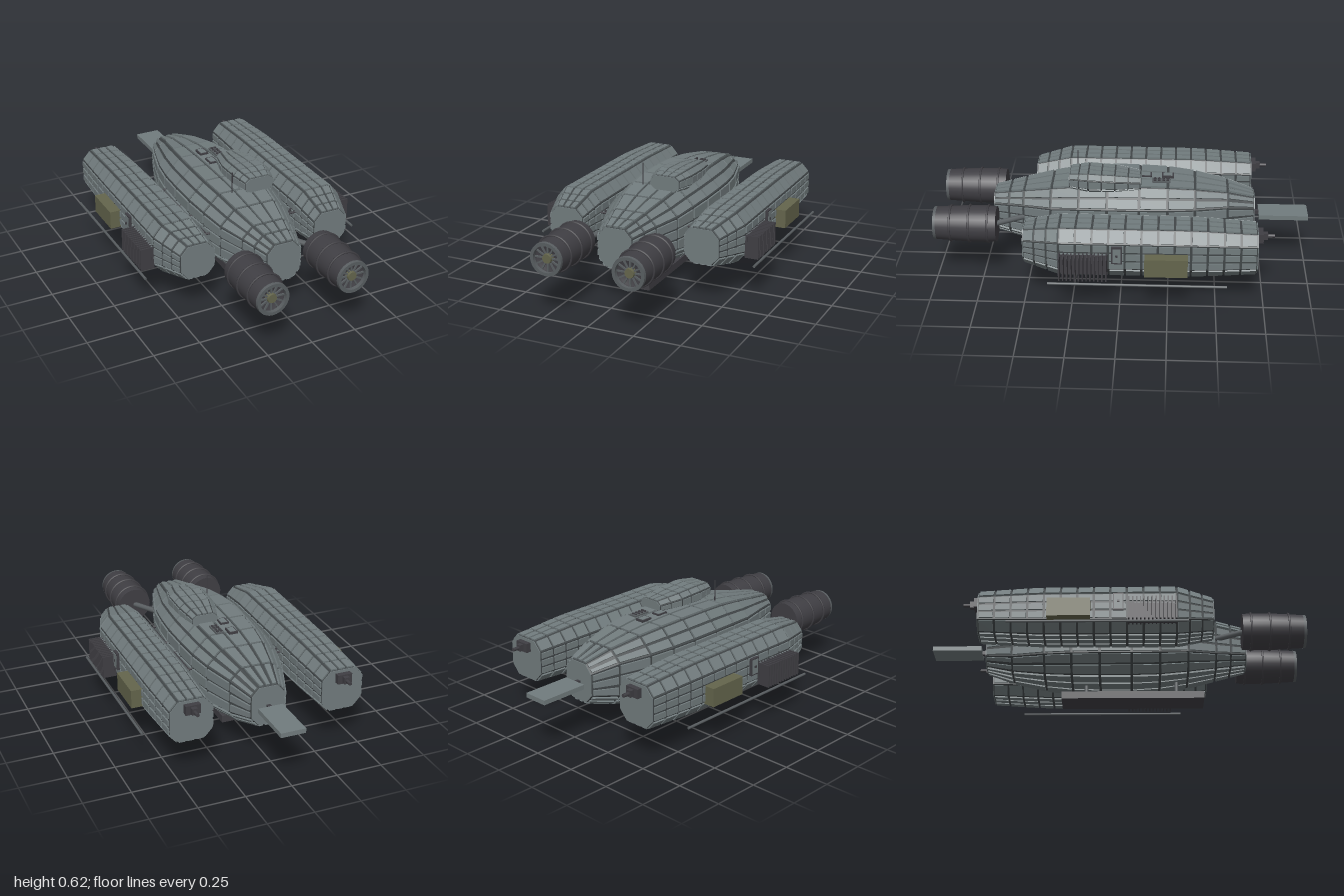
import * as THREE from 'three';

const mat = (name, color) => Object.assign(new THREE.MeshStandardMaterial({ color }), { name });

export function createModel() {
  const root = new THREE.Group();
  root.name = 'spaceship';
  const plate = mat('hull plate grey', 0x717b7d);
  const seam = mat('seam dark grey', 0x414648);
  const dark = mat('machinery charcoal', 0x3f3e43);
  const olive = mat('olive', 0x64654c);
  const steel = mat('steel grey', 0x585d60);

  const add = (parent, name, geo, m, x = 0, y = 0, z = 0) => {
    const mesh = new THREE.Mesh(geo, m);
    mesh.name = name;
    mesh.position.set(x, y, z);
    parent.add(mesh);
    return mesh;
  };
  const box = (parent, name, m, w, h, d, x, y, z) =>
    add(parent, name, new THREE.BoxGeometry(w, h, d), m, x, y, z);
  const rod = (parent, name, m, a, b, r) => {
    const p = new THREE.Vector3(...a), q = new THREE.Vector3(...b);
    const mesh = add(parent, name, new THREE.CylinderGeometry(r, r, p.distanceTo(q), 8), m);
    mesh.position.copy(p).lerp(q, 0.5);
    mesh.quaternion.setFromUnitVectors(new THREE.Vector3(0, 1, 0), q.sub(p).normalize());
    return mesh;
  };

  // Chamfered rectangle, counter-clockwise seen from +z
  const octagon = ([z, cx, cy, w, h, a, b]) => [
    [w, b - h], [w, h - b], [w - a, h], [a - w, h],
    [-w, h - b], [-w, b - h], [a - w, -h], [w - a, -h],
  ].map(([x, y]) => new THREE.Vector3(cx + x, cy + y, z));

  const toGeometry = (quads) => {
    const pos = [];
    for (const [a, b, c, d] of quads) for (const v of [a, b, c, a, c, d]) pos.push(v.x, v.y, v.z);
    const g = new THREE.BufferGeometry();
    g.setAttribute('position', new THREE.Float32BufferAttribute(pos, 3));
    g.computeVertexNormals();
    return g;
  };

  // Dark lofted core covered in raised plates; stations are [z, cx, cy, halfW, halfH, chamferX, chamferY]
  function platedHull(name, stations, cuts, columns, gap, thick) {
    const group = new THREE.Group();
    group.name = name;
    const at = (z) => {
      let i = 0;
      while (i < stations.length - 2 && stations[i + 1][0] < z) i++;
      const s = stations[i], t = stations[i + 1], k = (z - s[0]) / (t[0] - s[0]);
      return octagon(s.map((v, j) => v + (t[j] - v) * k));
    };
    const core = [], plates = [];
    for (let c = 0; c < cuts.length - 1; c++) {
      const A = at(cuts[c]), B = at(cuts[c + 1]);
      for (let f = 0; f < 8; f++) {
        const g = (f + 1) % 8, q = [A[f], A[g], B[g], B[f]];
        core.push(q);
        const n = q[2].clone().sub(q[0]).cross(q[3].clone().sub(q[1])).normalize();
        const point = (u, v) => q[0].clone().lerp(q[1], u).lerp(q[3].clone().lerp(q[2], u), v);
        const gu = gap / q[0].distanceTo(q[1]) / 2, gv = gap / q[0].distanceTo(q[3]) / 2;
        const cols = columns[f % 4];
        for (let k = 0; k < cols; k++) {
          const u0 = k / cols + gu, u1 = (k + 1) / cols - gu;
          const low = [[u0, gv], [u1, gv], [u1, 1 - gv], [u0, 1 - gv]].map(([u, v]) => point(u, v));
          const top = low.map((p) => p.clone().addScaledVector(n, thick));
          plates.push(top);
          for (let e = 0; e < 4; e++) {
            const h = (e + 1) % 4;
            plates.push([low[e], low[h], top[h], top[e]]);
          }
        }
      }
    }
    add(group, 'hullCore', toGeometry(core), seam);
    add(group, 'hullPlates', toGeometry(plates), plate);
    for (const z of [cuts[0], cuts[cuts.length - 1]]) {
      const shape = new THREE.Shape(at(z).map((p) => new THREE.Vector2(p.x, p.y)));
      add(group, 'endCap', new THREE.ExtrudeGeometry(shape, { depth: 0.008, bevelEnabled: false }), plate, 0, 0, z - 0.004);
    }
    root.add(group);
    return group;
  }

  // Main hull
  platedHull('mainHull', [
    [-0.705, 0, 0.305, 0.09, 0.105, 0.04, 0.045],
    [-0.56, 0, 0.305, 0.143, 0.148, 0.06, 0.06],
    [-0.385, 0, 0.305, 0.195, 0.178, 0.08, 0.08],
    [-0.2, 0, 0.305, 0.226, 0.195, 0.09, 0.09],
    [0.08, 0, 0.305, 0.23, 0.197, 0.09, 0.09],
    [0.23, 0, 0.305, 0.217, 0.188, 0.088, 0.088],
    [0.38, 0, 0.305, 0.193, 0.167, 0.08, 0.08],
    [0.53, 0, 0.305, 0.145, 0.137, 0.06, 0.06],
    [0.695, 0, 0.305, 0.092, 0.105, 0.04, 0.045],
  ], [-0.705, -0.56, -0.385, -0.24, -0.09, 0.08, 0.23, 0.38, 0.53, 0.61, 0.695], [3, 2, 3, 2], 0.014, 0.01);

  // Offset cockpit on the upper hull
  platedHull('cockpit', [
    [-0.095, 0.09, 0.525, 0.07, 0.033, 0.025, 0.02],
    [0.04, 0.083, 0.53, 0.098, 0.045, 0.03, 0.025],
    [0.18, 0.083, 0.535, 0.102, 0.048, 0.03, 0.025],
    [0.28, 0.08, 0.535, 0.08, 0.038, 0.025, 0.02],
  ], [-0.095, -0.03, 0.04, 0.11, 0.18, 0.23, 0.28], [1, 1, 3, 1], 0.008, 0.006);

  for (const s of [1, -1]) {
    // Side pod
    const cuts = Array.from({ length: 13 }, (_, i) => -0.705 + i * 1.015 / 12).concat([0.375, 0.44, 0.5]);
    const pod = platedHull('sidePod', [
      [-0.705, s * 0.415, 0.31, 0.113, 0.112, 0.045, 0.05],
      [-0.4, s * 0.415, 0.31, 0.125, 0.13, 0.05, 0.06],
      [0.31, s * 0.415, 0.31, 0.128, 0.132, 0.05, 0.06],
      [0.5, s * 0.387, 0.31, 0.093, 0.092, 0.04, 0.045],
    ], cuts, [3, 1, 3, 1], 0.012, 0.008);

    // Radiator fins, olive crate, hatch and long rail on the outer side
    for (let i = 0; i < 13; i++) {
      box(pod, 'radiatorFin', dark, 0.075, 0.123, 0.007, s * 0.58, 0.268, 0.065 + i * 0.02);
    }
    box(pod, 'radiatorBack', dark, 0.012, 0.11, 0.25, s * 0.55, 0.268, 0.185);
    box(pod, 'sideCrate', olive, 0.06, 0.1, 0.22, s * 0.572, 0.28, -0.24);
    box(pod, 'sideHatchFrame', dark, 0.016, 0.095, 0.055, s * 0.556, 0.328, 0.012);
    box(pod, 'sideHatch', plate, 0.008, 0.08, 0.042, s * 0.562, 0.328, 0.012);
    box(pod, 'hatchHandle', dark, 0.006, 0.012, 0.012, s * 0.567, 0.328, 0.012);
    rod(pod, 'sideRail', steel, [s * 0.617, 0.19, -0.55], [s * 0.617, 0.19, 0.365], 0.007);

    // Rear gun
    box(pod, 'gunMount', dark, 0.08, 0.05, 0.03, s * 0.415, 0.382, -0.722);
    box(pod, 'gunBlock', dark, 0.03, 0.035, 0.03, s * 0.415, 0.382, -0.745);
    rod(pod, 'gunBarrel', dark, [s * 0.415, 0.382, -0.74], [s * 0.415, 0.382, -0.795], 0.01);

    // Pipe frames between hull and pod
    for (const [z0, z1] of [[-0.24, -0.03], [0.1, 0.31]]) {
      rod(root, 'linkPipe', dark, [s * 0.245, 0.33, z0], [s * 0.245, 0.33, z1], 0.006);
      for (const z of [z0, z1]) {
        rod(root, 'linkBrace', dark, [s * 0.225, 0.33, z], [s * 0.295, 0.33, z], 0.006);
        rod(root, 'linkDiagonal', dark, [s * 0.245, 0.33, z], [s * 0.29, 0.33, z + (z === z0 ? 0.05 : -0.05)], 0.006);
      }
    }

    // Engine drum with open intake
    const engine = new THREE.Group();
    engine.name = 'engine';
    engine.position.set(s * 0.225, 0.315, 0);
    root.add(engine);
    const turned = (name, pts, m) => {
      const g = new THREE.LatheGeometry(pts.map(([r, z]) => new THREE.Vector2(r, z)), 28);
      return add(engine, name, g.rotateX(Math.PI / 2), m);
    };
    dark.side = steel.side = THREE.DoubleSide;
    turned('engineDrum', [[0, 0.665], [0.095, 0.665], [0.095, 0.665], [0.098, 0.72], [0.097, 0.82],
      [0.092, 0.91], [0.087, 0.992], [0.087, 0.992], [0.074, 0.992], [0.074, 0.992], [0.07, 0.965], [0, 0.965]], dark);
    turned('intakeLip', [[0.07, 0.98], [0.07, 1], [0.07, 1], [0.087, 1], [0.087, 1], [0.089, 0.985]], steel);
    for (const [z, r] of [[0.71, 0.103], [0.81, 0.103], [0.91, 0.099]]) {
      add(engine, 'drumBand', new THREE.TorusGeometry(r - 0.004, 0.006, 6, 28), dark, 0, 0, z);
    }
    for (let i = 0; i < 12; i++) {
      const a = i * Math.PI / 6;
      const blade = box(engine, 'fanBlade', steel, 0.046, 0.008, 0.008, Math.cos(a) * 0.048, Math.sin(a) * 0.048, 0.975);
      blade.rotation.z = a;
    }
    const hub = add(engine, 'fanHub', new THREE.CylinderGeometry(0.024, 0.028, 0.025, 16), olive, 0, 0, 0.977);
    hub.rotation.x = Math.PI / 2;
    rod(root, 'engineStrut', steel, [s * 0.13, 0.315, 0.52], [s * 0.225, 0.315, 0.68], 0.015);
  }

  // Tail fin
  box(root, 'tailFin', plate, 0.135, 0.025, 0.265, 0, 0.3, -0.8675);
  box(root, 'tailFinLink', dark, 0.022, 0.02, 0.05, 0, 0.3, -0.72);

  // Landing skid
  box(root, 'landingSkid', dark, 0.15, 0.04, 0.76, 0, 0.02, 0.085);
  for (const z of [0.32, -0.165]) rod(root, 'skidLeg', steel, [0, 0.03, z], [0, 0.13, z], 0.011);

  // Roof details: hatches, vent lights and antenna
  for (const z of [-0.24, -0.12]) {
    box(root, 'roofHatchFrame', dark, 0.048, 0.012, 0.065, 0, 0.511, z);
    box(root, 'roofHatch', plate, 0.034, 0.006, 0.05, 0, 0.516, z);
  }
  box(root, 'ventPlate', steel, 0.045, 0.008, 0.1, 0.07, 0.515, -0.205);
  for (let i = 0; i < 8; i++) {
    add(root, 'ventStud', new THREE.CylinderGeometry(0.007, 0.007, 0.008, 10), dark,
      0.06 + (i % 2) * 0.02, 0.521, -0.24 + Math.floor(i / 2) * 0.023);
  }
  rod(root, 'antenna', dark, [-0.063, 0.48, 0.25], [-0.063, 0.62, 0.25], 0.003);
  return root;
}
